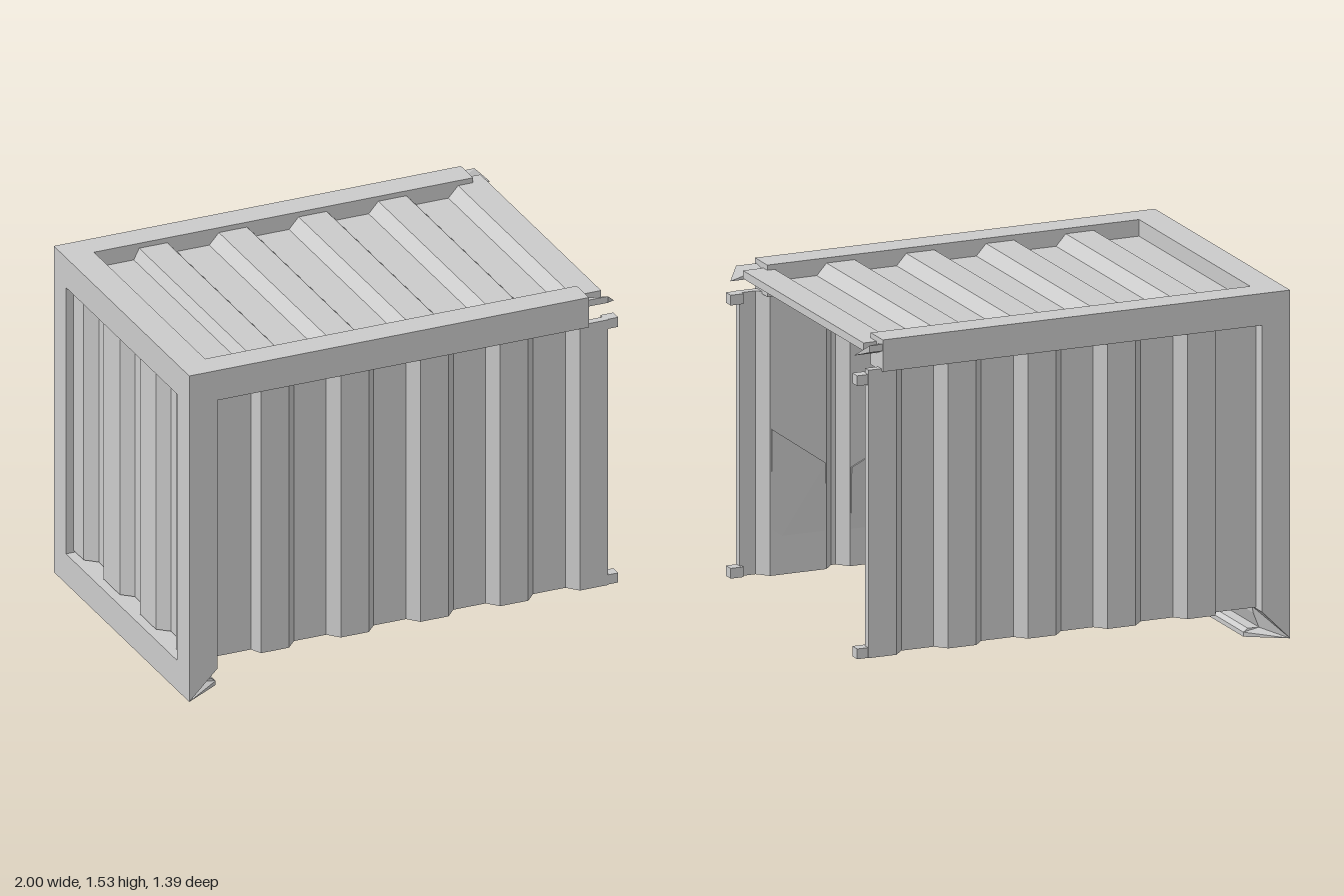
import * as THREE from 'three';
import { ConvexGeometry } from 'three/addons/geometries/ConvexGeometry.js';

const THICK = 0.035, AMP = 0.05;
const V = (x, y, z) => new THREE.Vector3(x, y, z);

export function createModel() {
  const root = new THREE.Group();
  const mat = new THREE.MeshStandardMaterial({ color: 0xcccccc, flatShading: true, side: THREE.DoubleSide });

  const add = (name, geo) => {
    const m = new THREE.Mesh(geo, mat);
    m.name = name;
    root.add(m);
  };
  // Box given by its limits on each axis
  const box = (name, x0, x1, y0, y1, z0, z1) => {
    const g = new THREE.BoxGeometry(x1 - x0, y1 - y0, z1 - z0);
    g.translate((x0 + x1) / 2, (y0 + y1) / 2, (z0 + z1) / 2);
    add(name, g);
  };
  const extrude = (pts, depth) => new THREE.ExtrudeGeometry(
    new THREE.Shape(pts.map(p => new THREE.Vector2(p[0], p[1]))), { depth, bevelEnabled: false });

  // Corrugated sheet: profile of [u, level, slope], level 0 = inner rib, 1 = outer rib;
  // slope (+1 rising, -1 falling) moves the inner skin so that its grooves are narrower
  const sheet = (name, profile, inset, length, u, w, origin) => {
    const outer = profile.map(([a, l]) => [a, l * AMP + THICK]);
    const inner = profile.map(([a, l, slope]) => [a + slope * inset, l * AMP]).reverse();
    const g = extrude([...outer, ...inner], length);
    const m = new THREE.Matrix4().makeBasis(u, w, u.clone().cross(w)).setPosition(origin);
    add(name, g.applyMatrix4(m));
  };

  // Long profile shared by roof and both sides
  const ribs = [[-0.9, 0, 0], [-0.685, 0, 1], [-0.66, 1, 1]];
  for (let i = 0; i < 4; i++) {
    const x = i * 0.37;
    ribs.push([-0.53 + x, 1, -1], [-0.485 + x, 0, -1], [-0.335 + x, 0, 1], [-0.29 + x, 1, 1]);
  }
  ribs.push([0.95, 1, 0]);
  const X = V(1, 0, 0);
  sheet('roofPanel', ribs, 0.055, 1.24, X, V(0, 1, 0), V(0, 1.422, -0.63));
  sheet('frontSidePanel', ribs, 0.055, 1.245, X, V(0, 0, 1), V(0, 1.4, 0.595));
  sheet('backSidePanel', ribs, 0.055, 1.265, X, V(0, 0, -1), V(0, 0.135, -0.595));

  // Closed end wall
  const endRibs = [[-0.6, 1, 0]];
  for (let i = 0; i < 3; i++) {
    const a = -0.48 + i * 0.37;
    endRibs.push([a, 1, -1], [a + 0.045, 0, -1], [a + 0.16, 0, 1], [a + 0.205, 1, 1]);
  }
  endRibs.push([0.6, 1, 0]);
  sheet('endPanel', endRibs, 0.025, 1.25, V(0, 0, -1), V(-1, 0, 0), V(-0.88, 0.15, 0));

  // Corner posts with the foot cut on the diagonal
  for (const z of [0.57, -0.695]) {
    const g = extrude([[-1, 0], [-0.87, 0.13], [-0.87, 1.53], [-1, 1.53]], 0.125);
    add('cornerPost', g.translate(0, 0, z));
  }

  // Top frame
  box('topEndRail', -1, -0.87, 1.39, 1.53, -0.57, 0.57);
  box('frontTopRail', -0.87, 0.855, 1.39, 1.53, 0.57, 0.695);
  box('backTopRail', -0.87, 0.89, 1.39, 1.53, -0.695, -0.57);

  // Bottom end rail with torn inner lip and mitred ends
  const rail = extrude([[-1, 0], [-0.83, 0], [-0.83, 0.02], [-0.85, 0.035],
    [-0.9, 0.035], [-0.875, 0.1], [-0.87, 0.14], [-1, 0.14]], 2);
  const p = rail.attributes.position;
  for (let i = 0; i < p.count; i++) {
    const half = Math.max(0.59, 0.695 - (p.getX(i) + 1));
    p.setZ(i, p.getZ(i) > 1 ? half : -half);
  }
  rail.computeVertexNormals();
  add('bottomEndRail', rail);

  for (const s of [1, -1]) {
    // Broken wedge stubs past the ends of the top rails
    const x0 = s > 0 ? 0.85 : 0.88, zo = s * (s > 0 ? 0.68 : 0.69), zi = zo - s * 0.05;
    add('brokenRailStub', new ConvexGeometry([
      V(x0, 1.51, zo), V(0.95, 1.51, zo), V(0.95, 1.48, zo), V(x0, 1.48, zo),
      V(x0, 1.5, zi), V(x0, 1.46, zi), V(1, 1.46, zi)]));

    // Lips at the top and bottom of the open edge
    const dy = s > 0 ? 0.02 : 0;
    for (const y of [0.135, 1.335]) {
      box('edgeLip', 0.94, 1, y + dy, y + dy + 0.045, s * 0.65 - 0.025, s * 0.65 + 0.025);
    }

    // Buckled inner ribs: plates that lift off along slanted tears
    const tearY = x => 0.72 + 0.13 * Math.sin(6 * x + 2 * s);
    for (let i = 0; i < 3; i++) {
      const a = -0.165 + i * 0.37, b = a + 0.25, z = 0.597;
      add('buckledPlate', new ConvexGeometry([
        V(a, 0.25, s * z), V(b, 0.25, s * z),
        V(a, tearY(a), s * z), V(b, tearY(b), s * z),
        V(a, tearY(a), s * (z - 0.01)), V(b, tearY(b), s * (z - 0.01))]));
    }
  }

  return root;
}
